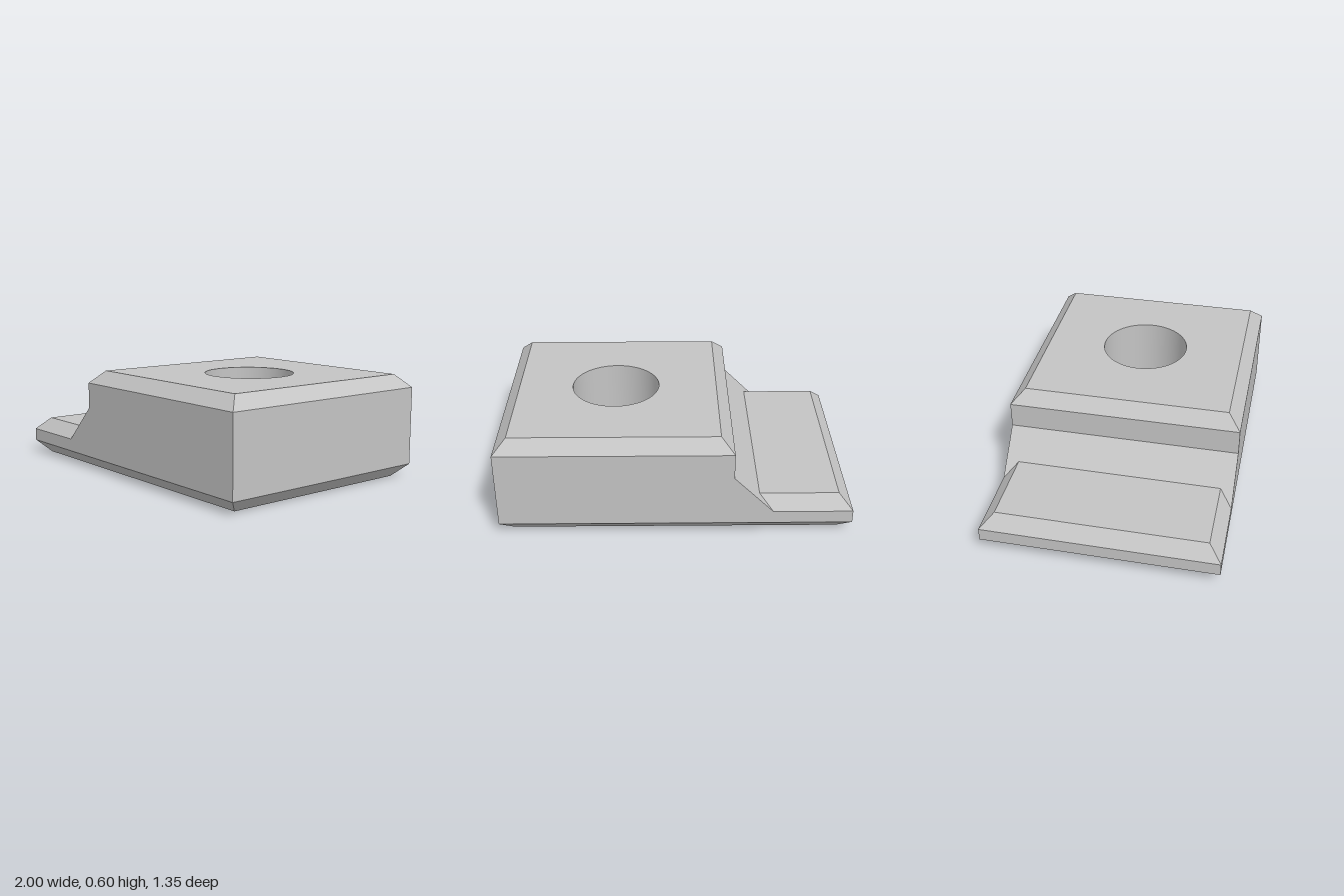
import * as THREE from 'three';

const HOLE_X = 0.35, HOLE_R = 0.257, SINK_R = 0.33, SIDES = 64;
const H = 0.6, W = 0.675; // half depth at chamfered edges, and in full

// Flat polygon from 3D corners (counter-clockwise from outside), with an optional hole
function addFace(out, pts, hole = []) {
  const n = new THREE.Vector3();
  pts.forEach((p, i) => n.add(new THREE.Vector3().crossVectors(p, pts[(i + 1) % pts.length])));
  n.normalize();
  const u = pts[1].clone().sub(pts[0]).normalize();
  const v = new THREE.Vector3().crossVectors(n, u);
  const flat = (list) => list.map((p) => new THREE.Vector2(p.dot(u), p.dot(v)));
  const all = [...pts, ...hole];
  const tris = THREE.ShapeUtils.triangulateShape(flat(pts), hole.length ? [flat(hole)] : []);
  for (const tri of tris) for (const i of tri) out.push(all[i].x, all[i].y, all[i].z);
}

function circle(r, y) {
  return Array.from({ length: SIDES }, (_, i) => {
    const a = (i / SIDES) * Math.PI * 2;
    return new THREE.Vector3(HOLE_X + Math.sin(a) * r, y, Math.cos(a) * r);
  });
}

function bodyGeometry() {
  const out = [];
  const at = ([x, y, w], s = 1) => new THREE.Vector3(x, y, w * s);

  // Outline seen from the front: x, y, half depth
  const ring = [
    [-0.925, 0, H], [0.925, 0, H], [1, 0.075, W], [1, 0.525, W],
    [0.925, 0.6, H], [-0.25, 0.6, H], [-0.325, 0.525, W], [-0.325, 0.375, W],
    [-0.475, 0.225, H], [-0.925, 0.225, H], [-1, 0.15, W], [-1, 0.075, W],
  ];
  const slopeFoot = [-0.55, 0.15, W];

  // Faces running from front to back; the ramp has two extra foot corners
  ring.forEach((p, i) => {
    const q = ring[(i + 1) % ring.length];
    const ramp = i === 7;
    const pts = [at(p), at(p, -1), ...(ramp ? [at(slopeFoot, -1)] : []),
      at(q, -1), at(q), ...(ramp ? [at(slopeFoot)] : [])];
    const hole = i === 0 ? circle(SINK_R, 0) : i === 4 ? circle(HOLE_R, 0.6) : [];
    addFace(out, pts, hole);
  });

  // Side wall and its three chamfers, mirrored to the back
  const sides = [
    [ring[11], ring[2], ring[3], ring[6], ring[7], slopeFoot, ring[10]],
    [ring[0], ring[1], ring[2], ring[11]],
    [ring[6], ring[3], ring[4], ring[5]],
    [ring[10], slopeFoot, ring[8], ring[9]],
  ];
  for (const side of sides) {
    addFace(out, side.map((p) => at(p)));
    addFace(out, side.map((p) => at(p, -1)).reverse());
  }

  const geo = new THREE.BufferGeometry();
  geo.setAttribute('position', new THREE.Float32BufferAttribute(out, 3));
  geo.computeVertexNormals();
  return geo;
}

export function createModel() {
  const group = new THREE.Group();
  group.name = 'steppedClampBlock';
  const steel = new THREE.MeshStandardMaterial({ color: 0xc4c4c4 });
  steel.name = 'steelGrey';

  const add = (name, geo, x = 0) => {
    const mesh = new THREE.Mesh(geo, steel);
    mesh.name = name;
    mesh.position.x = x;
    group.add(mesh);
  };
  // Inward-facing surface of revolution, listed from top to bottom
  const bore = (r1, y1, r2, y2) => new THREE.LatheGeometry(
    [new THREE.Vector2(r1, y1), new THREE.Vector2(r2, y2)], SIDES);

  add('body', bodyGeometry());
  add('holeWall', bore(HOLE_R, 0.6, HOLE_R, 0.075), HOLE_X);
  add('countersink', bore(HOLE_R, 0.075, SINK_R, 0), HOLE_X);
  return group;
}
